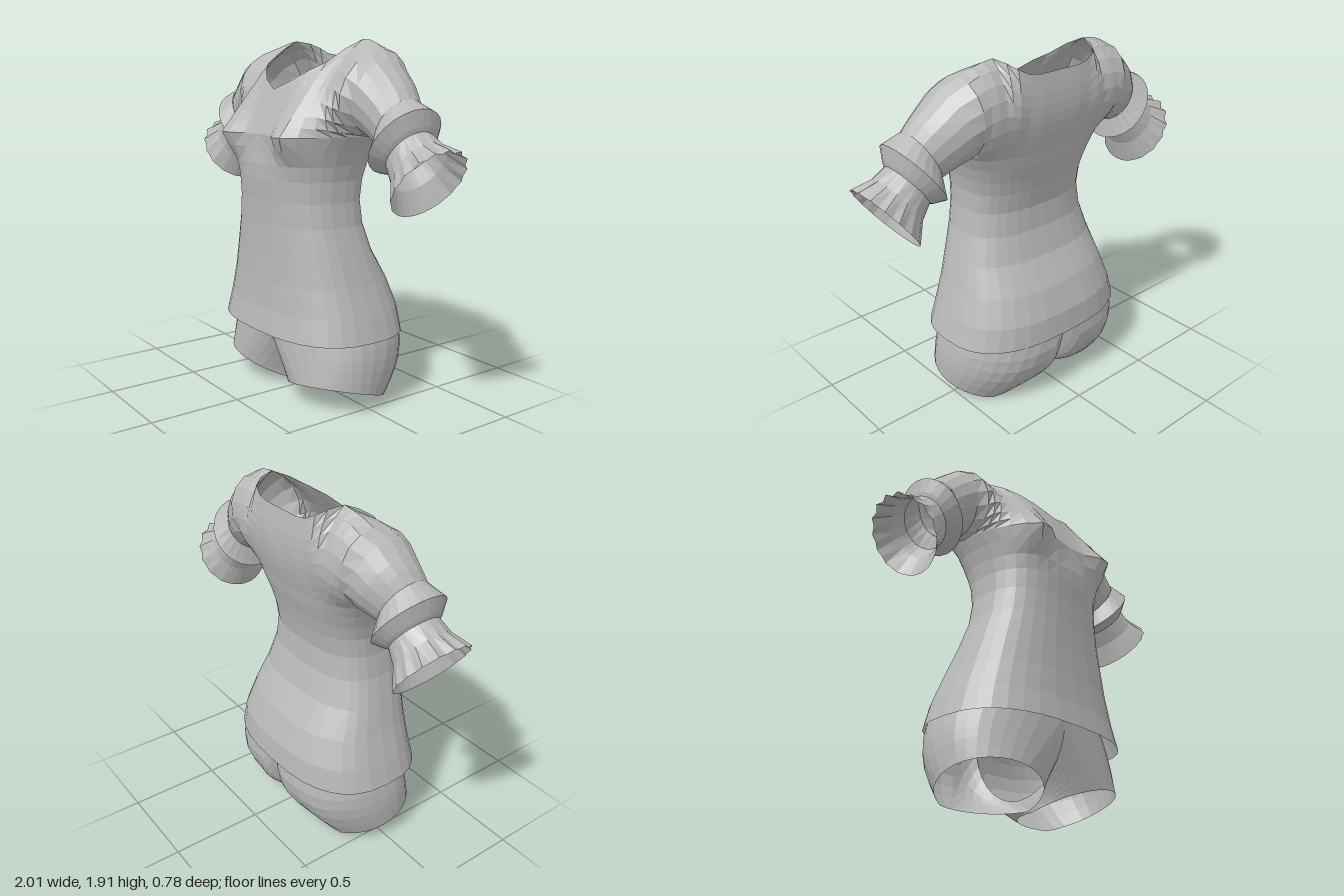
import * as THREE from 'three';

const { lerp } = THREE.MathUtils;
const CENTRE = -0.017; // body midline
const N = 8;           // columns from midline to side seam
const J = 8;           // steps from bottom to shoulder
const POW = 0.77;      // squarish oval

// Torso rows: height, half width, front z, back z, side seam z
const TORSO = [
  [0.37, 0.563, 0.374, -0.385, 0], [0.5, 0.525, 0.352, -0.372, 0],
  [0.65, 0.475, 0.34, -0.315, 0.01], [0.8, 0.432, 0.335, -0.225, 0.03],
  [0.95, 0.388, 0.333, -0.18, 0.05], [1.08, 0.368, 0.337, -0.17, 0.05],
  [1.19, 0.368, 0.345, -0.19, 0.04], [1.27, 0.383, 0.345, -0.21, 0.02],
  [1.35, 0.408, 0.335, -0.235, 0], [1.42, 0.44, 0.33, -0.25, -0.03],
];
// Neckline, then shoulder ridge, per column
const RIDGE = [[0.3, 1.907, -0.12], [0.36, 1.9, -0.12], [0.42, 1.882, -0.11], [0.49, 1.85, -0.1]];
const FRONT_EDGE = [[0, 1.65, 0.235], [0.12, 1.7, 0.2], [0.2, 1.75, 0.15], [0.265, 1.79, 0.09], [0.285, 1.86, -0.02], ...RIDGE];
const BACK_EDGE = [[0, 1.83, -0.27], [0.12, 1.83, -0.27], [0.19, 1.84, -0.265], [0.25, 1.87, -0.25], [0.28, 1.895, -0.2], ...RIDGE];
const FRONT_BULGE = [0, 0, 0, 0, 0.03, 0.09, 0.13, 0.17, 0.225];
const BACK_BULGE = [-0.03, -0.03, -0.03, -0.05, -0.08, -0.13, -0.15, -0.17, -0.205];
// Sleeve sections: bottom x, y, top x, y, front z, back z
const SLEEVE = [
  [0.47, 1.425, 0.565, 1.8, 0.13, -0.25], [0.515, 1.41, 0.645, 1.73, 0.115, -0.225],
  [0.55, 1.39, 0.69, 1.685, 0.108, -0.2], [0.588, 1.37, 0.73, 1.634, 0.105, -0.175],
];

// Joins rows of points into a surface on side s
function loft(rows, s, flip = false) {
  const pos = [], index = [], n = rows[0].length;
  rows.forEach((row) => row.forEach(([x, y, z]) => pos.push(x * s + CENTRE, y, z)));
  for (let i = 0; i < rows.length - 1; i++) {
    for (let j = 0; j < n - 1; j++) {
      const a = i * n + j, b = a + 1, c = a + n, d = c + 1;
      if ((s < 0) !== flip) index.push(a, c, b, b, c, d);
      else index.push(a, b, c, b, d, c);
    }
  }
  const g = new THREE.BufferGeometry();
  g.setAttribute('position', new THREE.Float32BufferAttribute(pos, 3));
  g.setIndex(index);
  g.computeVertexNormals();
  return g;
}

// Point on a torso row, with the bust swelling on the front
function torsoPoint([y, w, f, b, m], k, front) {
  const a = (k / N) * Math.PI / 2;
  const x = w * Math.sin(a) ** POW;
  const c = k === N ? 0 : Math.cos(a) ** POW;
  const bust = 0.11 * Math.exp(-(((x - 0.27) / 0.11) ** 2) - ((y - 1.42) / 0.11) ** 2);
  return [x, y, front ? m + (f - m) * c + (k === N ? 0 : bust) : m + (b - m) * c];
}

// Column rising from the chest row to the neckline or shoulder
function upperColumn(k, front) {
  const p = torsoPoint(TORSO[TORSO.length - 1], k, front);
  const e = (front ? FRONT_EDGE : BACK_EDGE)[k];
  const bulge = (front ? FRONT_BULGE : BACK_BULGE)[k];
  const round = Math.max(0, (k - 3) / 5);
  return Array.from({ length: J + 1 }, (_, j) => {
    const t = j / J;
    const u = lerp(t, (1 - Math.cos(Math.PI * t)) / 2, round);
    return [lerp(p[0], e[0], u), lerp(p[1], e[1], u), lerp(p[2], e[2], u) + bulge * Math.sin(Math.PI * t)];
  });
}

// Oval arm section, starting underneath and passing the front first
function armRing([bx, by, tx, ty, zf, zb], shift, steps = 2 * J, ruffle = 0) {
  return Array.from({ length: steps + 1 }, (_, i) => {
    const a = (i / steps) * Math.PI * 2;
    const top = (1 - Math.cos(a)) / 2;
    const r = 1 + ruffle * top * (i % 2 ? -1 : 1);
    const c = -Math.cos(a) * r / 2;
    return [
      (bx + tx) / 2 + (tx - bx) * c + shift[0],
      (by + ty) / 2 + (ty - by) * c + shift[1],
      (zf + zb) / 2 + (zf - zb) / 2 * Math.sin(a) * r,
    ];
  });
}
const disc = (x, y, r) => [x - 0.6 * r, y - 0.8 * r, x + 0.6 * r, y + 0.8 * r, r - 0.035, -r - 0.035];

// One half of the shorts: hip and midline seam flowing down to the leg hem
function shortsRows() {
  const steps = 32, rows = 6;
  return Array.from({ length: rows + 1 }, (_, i) => {
    const t = i / rows;
    return Array.from({ length: steps + 1 }, (_, j) => {
      const a = (j / steps) * Math.PI * 2, s = Math.sin(a), c = Math.cos(a);
      const outer = j <= steps / 2;
      const sc = Math.sign(c) * Math.abs(c) ** POW;
      const top = outer
        ? [0.52 * Math.max(0, s) ** POW, 0.45, -0.04 + 0.32 * sc]
        : [0, 0.45 + 0.38 * s, -0.04 + 0.32 * c];
      const hem = [0.29 + 0.275 * s, Math.max(0, 0.05 + 0.05 * s + 0.075 * c), 0.04 + 0.25 * c];
      const swell = Math.sin(Math.PI * t);
      return [
        lerp(top[0], hem[0], t) + 0.02 * swell * Math.max(0, s),
        lerp(top[1], hem[1], t),
        lerp(top[2], hem[2], t) - 0.08 * swell * Math.max(0, -c),
      ];
    });
  });
}

export function createModel() {
  const model = new THREE.Group();
  model.name = 'blouseAndShorts';
  const cloth = new THREE.MeshStandardMaterial({ color: 0xb8b8b8, flatShading: true, side: THREE.DoubleSide });
  cloth.name = 'greyCloth';
  const add = (name, geometry) => {
    const mesh = new THREE.Mesh(geometry, cloth);
    mesh.name = name;
    model.add(mesh);
  };

  const cols = Array.from({ length: N + 1 }, (_, k) => k);
  const back = [...cols].reverse();
  const frontCols = cols.map((k) => upperColumn(k, true));
  const backCols = cols.map((k) => upperColumn(k, false));
  const levels = Array.from({ length: J + 1 }, (_, j) => j);

  for (const [s, side] of [[1, 'left'], [-1, 'right']]) {
    // Body of the blouse
    add(side + 'Torso', loft(TORSO.map((row) => [
      ...cols.map((k) => torsoPoint(row, k, true)),
      ...back.slice(1).map((k) => torsoPoint(row, k, false)),
    ]), s));
    // Chest and back up to the open neckline
    add(side + 'Chest', loft(levels.map((j) => cols.map((k) => frontCols[k][j])), s));
    add(side + 'UpperBack', loft(levels.map((j) => back.map((k) => backCols[k][j])), s));

    // Sleeve grows out of the last chest column
    const shift = [0.02 * s, -0.015 * s];
    const armhole = [...frontCols[N], ...[...backCols[N]].reverse().slice(1)];
    add(side + 'Sleeve', loft([
      armhole,
      ...SLEEVE.map((r, i) => armRing(r, shift.map((v) => v * (i + 1) / SLEEVE.length))),
    ], s, true));
    // Flared cuff
    add(side + 'Cuff', loft([
      armRing(SLEEVE[SLEEVE.length - 1], shift, 24),
      armRing(disc(0.703, 1.427, 0.205), shift, 24),
      armRing(disc(0.737, 1.385, 0.155), shift, 24),
      armRing(disc(0.745, 1.375, 0.138), shift, 24),
    ], s, true));
    // Ruffled frill
    add(side + 'Frill', loft([
      armRing(disc(0.745, 1.375, 0.138), shift, 32),
      armRing(disc(0.805, 1.315, 0.155), shift, 32, 0.02),
      armRing(disc(0.875, 1.24, 0.208), shift, 32, 0.05),
    ], s, true));

    // Shorts
    add(side + 'ShortsLeg', loft(shortsRows(), s));
  }
  return model;
}
